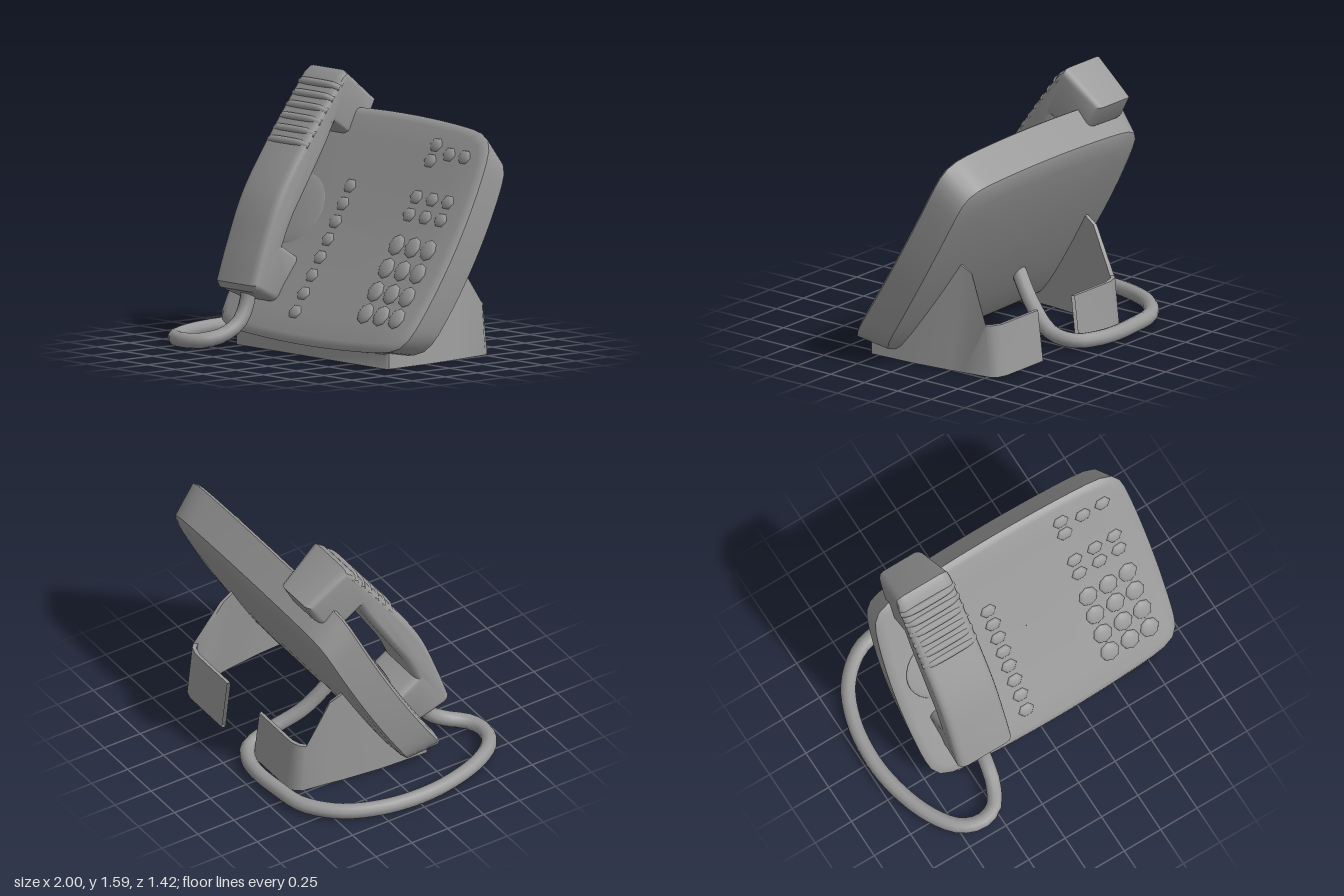
import * as THREE from 'three';
import { toCreasedNormals } from 'three/addons/utils/BufferGeometryUtils.js';

const material = new THREE.MeshStandardMaterial({ color: 0x999999 });
const thin = new THREE.MeshStandardMaterial({ color: 0x999999, side: THREE.DoubleSide });
const MID = 0.12; // x centre of the body and stand

// Curved face line: t runs 0..1 up the face, (ny, nz) points outward
function faceFrame(t) {
  const dz = -0.88 + 0.28 * t, dy = 1.2 + 0.16 * t, l = Math.hypot(dz, dy);
  return { y: 0.09 + 1.2 * t + 0.08 * t * t, z: 0.37 - 0.88 * t + 0.14 * t * t, ny: -dz / l, nz: dy / l };
}
const faceT = (y) => (-1.2 + Math.sqrt(1.44 + 0.32 * (y - 0.09))) / 0.16;

// Places an object on the crowned face so its own y axis points outward
function onFace(mesh, x, y) {
  const t = faceT(y), f = faceFrame(t);
  const edge = Math.max(Math.abs(x - MID) / 0.88, Math.abs(2 * t - 1));
  const rise = 0.02 * (1 - edge ** 3);
  mesh.position.set(x, f.y + rise * f.ny, f.z + rise * f.nz);
  mesh.rotation.x = Math.atan2(f.nz, f.ny);
  return mesh;
}

// Surface through rows of equal length
function loft(rows, crease) {
  const n = rows[0].length, index = [];
  for (let i = 0; i < rows.length - 1; i++) {
    for (let j = 0; j < n - 1; j++) {
      const a = i * n + j, b = a + n;
      index.push(a, b, b + 1, a, b + 1, a + 1);
    }
  }
  const geo = new THREE.BufferGeometry();
  geo.setAttribute('position', new THREE.Float32BufferAttribute(rows.flat(2), 3));
  geo.setIndex(index);
  return toCreasedNormals(geo, crease);
}

// Barrel-shaped slab: concentric outlines [x scale, height scale, depth]
function makeBody() {
  const rings = [
    [0.001, 0.001, -0.02], [0.25, 0.25, -0.02], [0.5, 0.5, -0.018], [0.75, 0.75, -0.013], [0.94, 0.945, -0.006],
    [0.98, 0.99, 0.002], [1, 1.012, 0.018], [0.985, 0.95, 0.11], [0.965, 0.885, 0.212], [0.93, 0.845, 0.224],
    [0.8, 0.72, 0.232], [0.55, 0.5, 0.236], [0.28, 0.25, 0.237], [0.001, 0.001, 0.237],
  ];
  const sides = 96, power = 13;
  const rows = rings.map(([sx, sv, d]) => {
    const row = [];
    for (let j = 0; j <= sides; j++) {
      const a = (j / sides) * Math.PI * 2, c = Math.cos(a), s = Math.sin(a);
      const r = Math.pow(Math.abs(c) ** power + Math.abs(s) ** power, -1 / power);
      const u = r * c, v = r * s;
      const f = faceFrame((sv * v * (1 - 0.06 * u * u) + 1) / 2);
      row.push([MID + 0.88 * sx * u * (1 - 0.045 * v * v), f.y - d * f.ny, f.z - d * f.nz]);
    }
    return row;
  });
  return new THREE.Mesh(loft(rows, 0.6), material);
}

// Handset: side profile (z, y) extruded across its width, narrowing at both tips
function makeHandset() {
  const shape = new THREE.Shape();
  shape.moveTo(0.435, 0.385);
  shape.splineThru([[0.36, 0.6], [0.236, 0.895], [0.035, 1.2], [-0.24, 1.56]].map((p) => new THREE.Vector2(...p)));
  shape.lineTo(-0.285, 1.59);
  shape.lineTo(-0.538, 1.395);
  shape.lineTo(-0.47, 1.27);
  shape.lineTo(-0.36, 1.17);
  shape.lineTo(-0.28, 1.22);
  shape.lineTo(-0.19, 1.28);
  shape.splineThru([[-0.12, 1.15], [0.03, 0.91], [0.13, 0.75], [0.2, 0.6]].map((p) => new THREE.Vector2(...p)));
  shape.lineTo(0.06, 0.51);
  shape.lineTo(0.16, 0.25);
  shape.lineTo(0.28, 0.28);
  shape.lineTo(0.42, 0.345);
  const geo = new THREE.ExtrudeGeometry(shape, {
    depth: 0.265, curveSegments: 16, bevelThickness: 0.05, bevelSize: 0.035, bevelOffset: -0.035, bevelSegments: 3,
  });
  geo.rotateY(-Math.PI / 2).translate(0.1325, 0, 0);
  const pos = geo.attributes.position;
  for (let i = 0; i < pos.count; i++) {
    const top = THREE.MathUtils.clamp((-0.25 - pos.getZ(i)) / 0.28, 0, 1);
    const bottom = THREE.MathUtils.clamp((0.38 - pos.getY(i)) / 0.1, 0, 1);
    pos.setX(i, pos.getX(i) * (1 - 0.18 * top - 0.15 * bottom));
  }
  const handset = new THREE.Mesh(toCreasedNormals(geo, 0.6), material);
  handset.position.x = -0.432;
  return handset;
}

export function createModel() {
  const model = new THREE.Group();
  const add = (mesh, name, parent = model) => {
    mesh.name = name;
    parent.add(mesh);
    return mesh;
  };

  add(makeBody(), 'body');
  add(makeHandset(), 'handset');

  // Grip ridges on the earpiece, wrapping back at their ends
  const ridges = add(new THREE.Group(), 'gripRidges');
  const arc = [[-0.172, -0.035], [-0.14, -0.01], [0, 0], [0.14, -0.01], [0.172, -0.035]];
  const ridgeCurve = new THREE.CatmullRomCurve3(arc.map(([x, y]) => new THREE.Vector3(x, y, 0)));
  const ridgeGeo = new THREE.TubeGeometry(ridgeCurve, 14, 0.026, 8);
  for (let i = 0; i < 6; i++) {
    const ridge = add(new THREE.Mesh(ridgeGeo, material), 'gripRidge', ridges);
    ridge.position.set(-0.432, 1.185 + i * 0.064, 0.034 - i * 0.0475);
    ridge.rotation.x = 0.93;
  }

  // Round cradle pad under the handset
  const pad = add(new THREE.Mesh(new THREE.SphereGeometry(0.23, 32, 8, 0, Math.PI * 2, 0, Math.PI / 2), material), 'cradlePad');
  onFace(pad, -0.44, 0.77).scale.y = 0.08;

  // Low domed buttons
  const buttons = add(new THREE.Group(), 'buttons');
  const dome = (sides) => new THREE.SphereGeometry(1, sides, 4, 0, Math.PI * 2, 0, Math.PI / 2);
  const smallGeo = dome(6), largeGeo = dome(8);
  const smallButton = (x, y, name) =>
    onFace(add(new THREE.Mesh(smallGeo, material), name, buttons), x, y).scale.set(0.052, 0.02, 0.046);
  for (let i = 0; i < 8; i++) smallButton(-0.065, 0.235 + i * 0.1, 'memoryButton');
  for (const x of [0.53, 0.67, 0.805]) {
    for (const y of [0.835, 0.935]) smallButton(x, y, 'functionButton');
    for (const y of [0.285, 0.405, 0.535, 0.665]) {
      onFace(add(new THREE.Mesh(largeGeo, material), 'dialButton', buttons), x, y).scale.set(0.062, 0.022, 0.067);
    }
  }
  for (const [x, y] of [[0.53, 1.23], [0.53, 1.14], [0.67, 1.19], [0.805, 1.19]]) smallButton(x, y, 'topButton');

  // Stand: walls whose rear ends fold inward; [half x, z, height, top z, inward lean of the left wall]
  const stand = add(new THREE.Group(), 'stand');
  const columns = [
    [0, 0.315, 0.085, 0.315, 0], [0.67, 0.315, 0.085, 0.315, 0], [0.685, 0.3, 0.1, 0.3, 0], [0.67, 0, 0.39, 0, 0.05],
    [0.64, -0.25, 0.63, -0.25, 0.09], [0.625, -0.335, 0.585, -0.335, 0.08], [0.6, -0.51, 0.31, -0.485, 0],
    [0.57, -0.55, 0.31, -0.515, 0], [0.51, -0.568, 0.305, -0.53, 0], [0.17, -0.568, 0.305, -0.53, 0],
  ];
  const inset = (z) => -0.13 + (z + 0.13) * 0.95;
  for (const side of [-1, 1]) {
    const rows = columns.map(([x, z, h, top, lean]) => {
      const low = side * x, high = low - (side > 0 ? lean : 0);
      return [
        [MID + low, 0, z], [MID + high, h, top],
        [MID + high * 0.97, h, inset(top)], [MID + low * 0.97, 0, inset(z)], [MID + low, 0, z],
      ];
    });
    add(new THREE.Mesh(loft(rows, 0.8), thin), side > 0 ? 'leftStandWall' : 'rightStandWall', stand);
  }

  // Cord from the handset, around the side and in at the back
  const path = [
    [-0.42, 0.36, 0.33], [-0.42, 0.25, 0.35], [-0.42, 0.15, 0.41], [-0.44, 0.085, 0.51], [-0.51, 0.055, 0.63],
    [-0.62, 0.05, 0.665], [-0.74, 0.05, 0.62], [-0.85, 0.05, 0.47], [-0.93, 0.05, 0.23], [-0.953, 0.05, 0],
    [-0.92, 0.05, -0.25], [-0.82, 0.05, -0.47], [-0.64, 0.05, -0.62], [-0.45, 0.05, -0.655], [-0.24, 0.05, -0.668],
    [-0.1, 0.05, -0.64], [0, 0.05, -0.57], [0.03, 0.08, -0.42], [-0.04, 0.2, -0.22], [-0.1, 0.38, -0.06],
  ].map((p) => new THREE.Vector3(...p));
  add(new THREE.Mesh(new THREE.TubeGeometry(new THREE.CatmullRomCurve3(path), 64, 0.046, 10), material), 'cord');

  return model;
}
